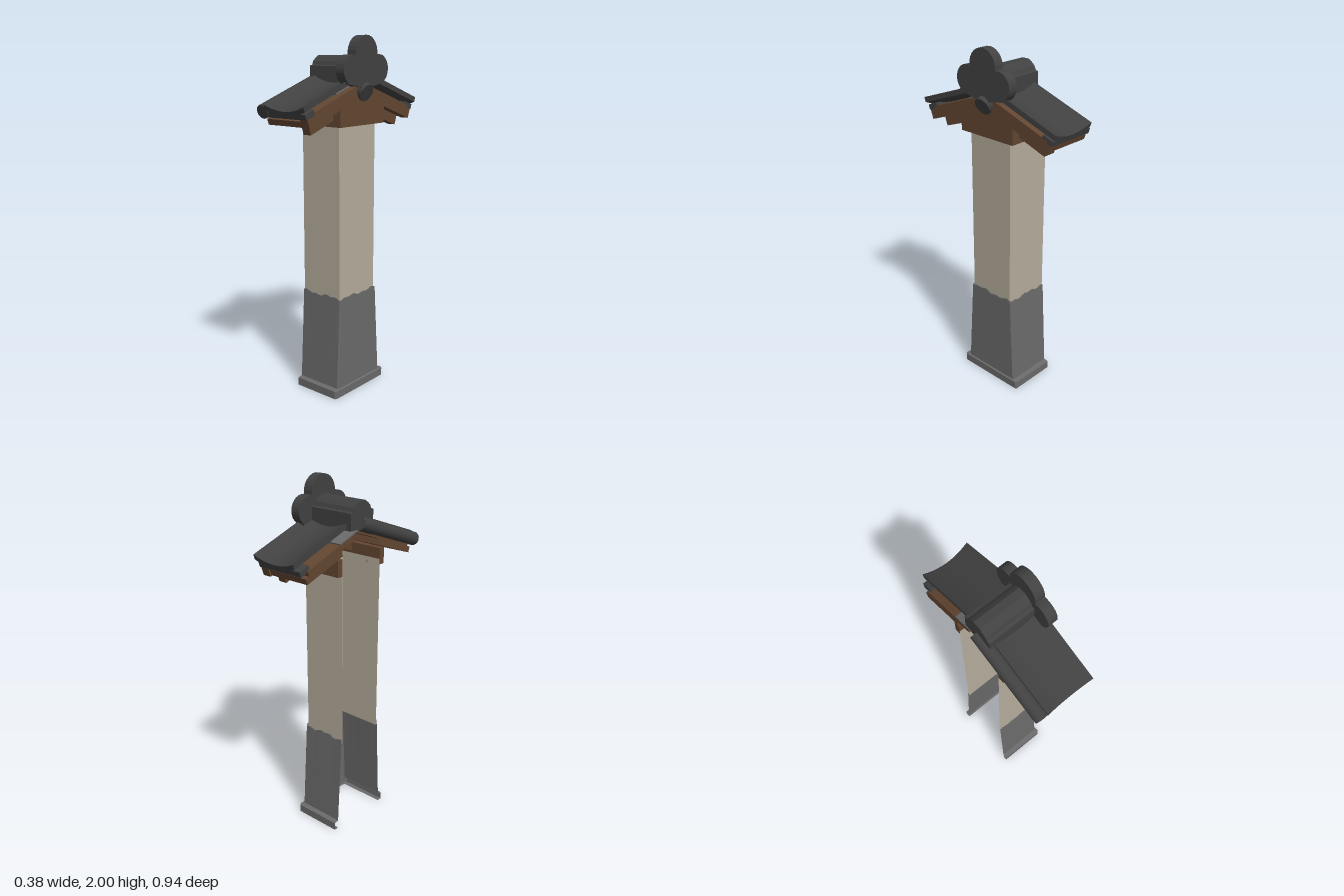
import * as THREE from 'three';

const mat = (name, color, side = THREE.FrontSide) =>
  Object.assign(new THREE.MeshStandardMaterial({ color, side }), { name });

export function createModel() {
  const plaster = mat('plaster', 0xb5ac9c, THREE.DoubleSide);
  const stone = mat('stone', 0x6a6a6a, THREE.DoubleSide);
  const wood = mat('wood', 0x634631);
  const slate = mat('slate', 0x414141);
  const model = new THREE.Group();

  const add = (parent, name, geo, material) => {
    const m = new THREE.Mesh(geo, material);
    m.name = name;
    parent.add(m);
    return m;
  };
  // box from min / max corners
  const box = (parent, name, [x0, x1], [y0, y1], [z0, z1], material) => {
    const g = new THREE.BoxGeometry(x1 - x0, y1 - y0, z1 - z0);
    g.translate((x0 + x1) / 2, (y0 + y1) / 2, (z0 + z1) / 2);
    return add(parent, name, g, material);
  };
  // (z, y) profile extruded along x from x0 to x1
  const alongX = (name, shape, x0, x1, material) => {
    const g = new THREE.ExtrudeGeometry(shape, { depth: x1 - x0, bevelEnabled: false, curveSegments: 7 });
    g.rotateY(Math.PI / 2);
    g.translate(x0, 0, 0);
    return add(model, name, g, material);
  };
  const polygon = pts => new THREE.Shape(pts.map(p => new THREE.Vector2(...p)));

  // ---- Three-sided shell, open towards -x, with chamfered corners ----
  const LEFT = -0.16, STEPS = 12;
  const ring = (hz, xr) => {
    const c = 0.008, pts = [];
    const run = (x0, z0, x1, z1) => {
      for (let i = 0; i <= STEPS; i++) {
        const t = i / STEPS;
        pts.push([x0 + (x1 - x0) * t, z0 + (z1 - z0) * t]);
      }
    };
    run(LEFT, hz, xr - c, hz);
    run(xr, hz - c, xr, c - hz);
    run(xr - c, -hz, LEFT, -hz);
    return pts;
  };
  // levels: [y, halfDepth, rightX, raggedness]
  const shell = (name, levels, material) => {
    const pos = [], idx = [], n = 3 * (STEPS + 1);
    for (const [y, hz, xr, rag = 0] of levels) {
      ring(hz, xr).forEach(([x, z], i) =>
        pos.push(x, y + rag * (Math.sin(i * 1.9) + Math.sin(i * 0.8 + 1)) / 2, z));
    }
    for (let l = 0; l < levels.length - 1; l++) {
      for (let i = 0; i < n - 1; i++) {
        const a = l * n + i, b = a + 1;
        idx.push(a, b, b + n, a, b + n, a + n);
      }
    }
    let g = new THREE.BufferGeometry();
    g.setAttribute('position', new THREE.Float32BufferAttribute(pos, 3));
    g.setIndex(idx);
    g = g.toNonIndexed();
    g.computeVertexNormals();
    return add(model, name, g, material);
  };
  shell('wall', [[0.55, 0.15, 0.11], [1.56, 0.15, 0.11]], plaster);
  shell('wallBase', [[0.05, 0.186, 0.122], [0.575, 0.157, 0.117, 0.011], [0.575, 0.15, 0.11, 0.011]], stone);
  shell('plinth', [[0, 0.186, 0.118], [0, 0.215, 0.13], [0.045, 0.215, 0.13], [0.05, 0.184, 0.12]], stone);

  // ---- Timber head of the wall ----
  for (const s of [1, -1]) {
    const z = [0.15 * s, 0.185 * s].sort((a, b) => a - b);
    box(model, 'sideBeam', [LEFT, 0.11], [1.53, 1.62], z, wood);
  }
  alongX('gableBeam', polygon([[-0.185, 1.53], [0.185, 1.53], [0.185, 1.63], [0, 1.69], [-0.185, 1.63]]),
    0.105, 0.14, wood);

  // ---- Roof slopes: local z runs downhill, local y is the slope normal ----
  const PITCH = Math.atan(0.35), RIDGE_Y = 1.82;
  for (const s of [1, -1]) {
    const slope = new THREE.Group();
    slope.name = s > 0 ? 'frontSlope' : 'backSlope';
    slope.rotation.order = 'YXZ';
    slope.rotation.set(PITCH, s > 0 ? 0 : Math.PI, 0);
    slope.position.y = RIDGE_Y;
    model.add(slope);
    const span = (a, b) => (s > 0 ? [a, b] : [-b, -a]);

    // sagging pan tile
    const [x0, x1] = span(-0.13, 0.15);
    const mid = (x0 + x1) / 2, half = (x1 - x0) / 2, upper = [], lower = [];
    for (let i = 0; i <= 10; i++) {
      const t = i / 5 - 1, n = -0.033 * (1 - t * t);
      upper.push([mid + half * t, n]);
      lower.unshift([mid + half * t, n - 0.028]);
    }
    add(slope, 'panTile', new THREE.ExtrudeGeometry(polygon([...upper, ...lower]),
      { depth: 0.5, bevelEnabled: false }), slate);
    box(slope, 'eaveTileLip', span(-0.15, 0.14), [-0.075, -0.045], [0.425, 0.492], slate);

    // timber below the tile
    box(slope, 'roofDeck', span(LEFT, 0.14), [-0.092, -0.062], [0.1, 0.45], wood);
    box(slope, 'bargeBoard', span(0.09, 0.14), [-0.128, -0.06], [0.03, 0.485], wood);
    box(slope, 'eaveBoard', span(LEFT, 0.09), [-0.125, -0.092], [0.2, 0.475], wood);
    box(slope, 'rafter', span(0.04, 0.09), [-0.182, -0.125], [0.2, 0.44], wood);
    box(slope, 'mortarBed', span(LEFT, 0.1), [-0.062, -0.055], [0.05, 0.2], stone);

    // round cover tile on the front slope only
    if (s > 0) {
      const roll = new THREE.CylinderGeometry(0.038, 0.038, 0.5, 16);
      roll.rotateX(Math.PI / 2);
      roll.translate(-0.153, -0.043, 0.25);
      add(slope, 'coverTile', roll, slate);
    }
  }

  // ---- Ridge, end ornament and round end tile ----
  const side = [[0.088, 1.75], [0.088, 1.84], [0.07, 1.845], [0.062, 1.865], [0.045, 1.88], [0.022, 1.895]];
  alongX('ridge', polygon([...side, ...side.map(([z, y]) => [-z, y]).reverse()]), LEFT, 0.112, slate);

  const trefoil = new THREE.Shape();
  trefoil.moveTo(0, 1.725);
  trefoil.lineTo(0.15, 1.752);
  trefoil.absarc(0.108, 1.824, 0.077, -0.95, 1.75, false);
  trefoil.absarc(0, 1.91, 0.09, -0.1, Math.PI + 0.1, false);
  trefoil.absarc(-0.108, 1.824, 0.077, Math.PI - 1.75, Math.PI + 0.95, false);
  trefoil.lineTo(-0.15, 1.752);
  alongX('ridgeOrnament', trefoil, 0.108, 0.164, slate);

  const cap = add(model, 'ridgeEndTile', new THREE.CylinderGeometry(0.05, 0.05, 0.07, 16), slate);
  cap.rotation.z = -Math.PI / 2 - 0.43; // faces outward and slightly down
  cap.position.set(0.135, 1.716, 0);

  return model;
}
